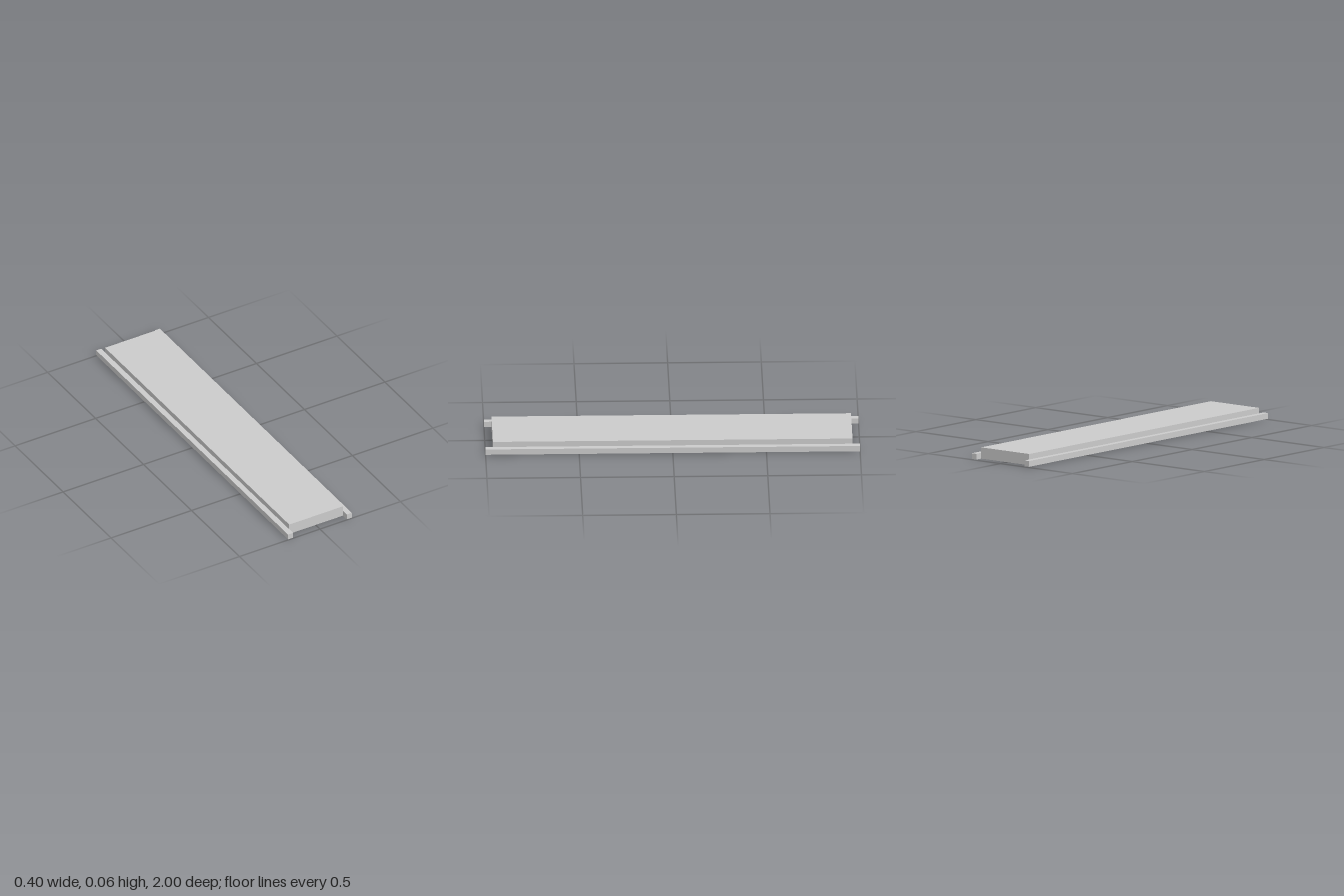
import * as THREE from 'three';

const grey = new THREE.MeshStandardMaterial({ color: 0xcccccc });

function add(parent, name, geometry, x, y, z) {
  const mesh = new THREE.Mesh(geometry, grey);
  mesh.name = name;
  mesh.position.set(x, y, z);
  parent.add(mesh);
  return mesh;
}

export function createModel() {
  const group = new THREE.Group();
  group.name = 'ceilingLight';
  const base = 0.004, recess = 0.04, top = 0.065;
  const halfW = 0.167, halfL = 0.96;

  // Lower housing with a stepped recess: wide lamp bay, narrower ends
  const frame = new THREE.Shape([
    [-halfW, -halfL], [halfW, -halfL], [halfW, halfL], [-halfW, halfL],
  ].map(([x, y]) => new THREE.Vector2(x, y)));
  const wide = 0.122, narrow = 0.07, bay = 0.82, end = 0.9;
  frame.holes.push(new THREE.Path([
    [-narrow, -end], [-narrow, -bay], [-wide, -bay], [-wide, bay],
    [-narrow, bay], [-narrow, end], [narrow, end], [narrow, bay],
    [wide, bay], [wide, -bay], [narrow, -bay], [narrow, -end],
  ].map(([x, y]) => new THREE.Vector2(x, y))));
  const housing = new THREE.ExtrudeGeometry(frame, { depth: recess, bevelEnabled: false });
  housing.rotateX(-Math.PI / 2);
  add(group, 'housing', housing, 0, base, 0);

  // Closed upper part of the housing
  const lidH = top - base - recess;
  add(group, 'housingTop', new THREE.BoxGeometry(halfW * 2, lidH, halfL * 2), 0, top - lidH / 2, 0);

  for (const side of [-1, 1]) {
    // Mounting rail along each long edge
    add(group, 'sideRail', new THREE.BoxGeometry(0.031, 0.031, 2), side * 0.1825, base + 0.0155, 0);

    // Lamp tube with a holder at each end
    const tube = new THREE.CylinderGeometry(0.014, 0.014, 1.56, 24);
    tube.rotateX(Math.PI / 2);
    add(group, 'lampTube', tube, side * 0.098, 0.021, 0);
    for (const tip of [-1, 1]) {
      add(group, 'lampHolder', new THREE.BoxGeometry(0.026, 0.036, 0.02), side * 0.098, 0.026, tip * 0.79);
    }
  }

  // Small catch below one holder
  add(group, 'catch', new THREE.CylinderGeometry(0.01, 0.008, 0.008, 16), -0.102, 0.004, 0.79);

  return group;
}
